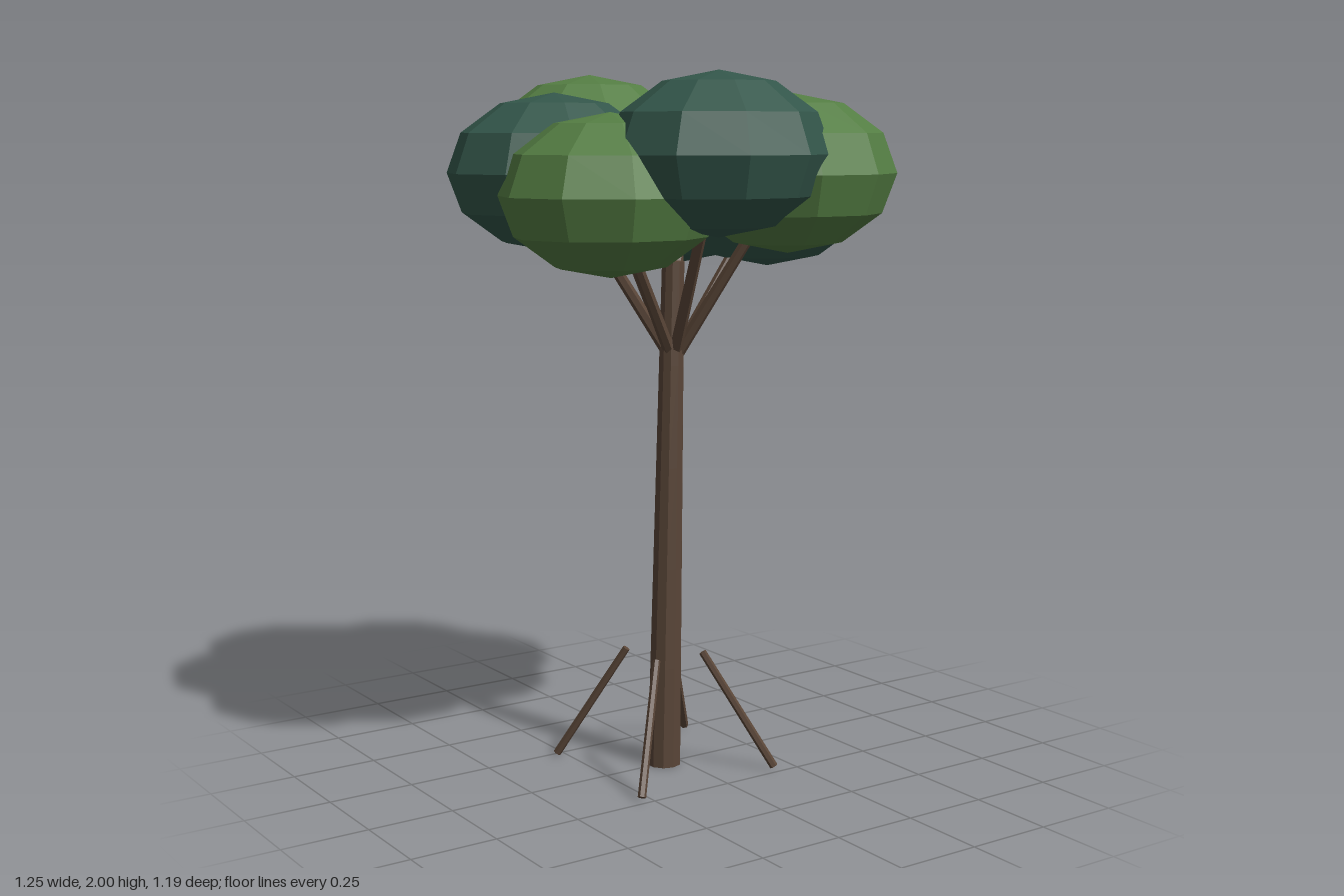
import * as THREE from 'three';

const bark = new THREE.MeshStandardMaterial({ color: 0x594537, flatShading: true });
bark.name = 'bark';
const darkLeaf = new THREE.MeshStandardMaterial({ color: 0x33564a, flatShading: true });
darkLeaf.name = 'darkLeaf';
const lightLeaf = new THREE.MeshStandardMaterial({ color: 0x547d43, flatShading: true });
lightLeaf.name = 'lightLeaf';

const UP = new THREE.Vector3(0, 1, 0);

// Tapered rod running from point a to point b
function rod(name, a, b, rBottom, rTop, sides) {
  const dir = b.clone().sub(a);
  const mesh = new THREE.Mesh(new THREE.CylinderGeometry(rTop, rBottom, dir.length(), sides), bark);
  mesh.name = name;
  mesh.position.copy(a).lerp(b, 0.5);
  mesh.quaternion.setFromUnitVectors(UP, dir.normalize());
  return mesh;
}

export function createModel() {
  const tree = new THREE.Group();
  tree.name = 'tree';

  // Trunk: tapered and leaning slightly towards +x
  const baseX = -0.052, topX = -0.018, height = 1.475;
  const trunkGeo = new THREE.CylinderGeometry(0.033, 0.05, height, 10, 5);
  trunkGeo.translate(0, height / 2, 0);
  const p = trunkGeo.attributes.position;
  for (let i = 0; i < p.count; i++) {
    p.setX(i, p.getX(i) + THREE.MathUtils.lerp(baseX, topX, p.getY(i) / height));
  }
  trunkGeo.computeVertexNormals();
  const trunk = new THREE.Mesh(trunkGeo, bark);
  trunk.name = 'trunk';
  tree.add(trunk);

  // Four slanted stakes on the diagonals around the trunk
  const stakes = new THREE.Group();
  stakes.name = 'stakes';
  for (const sx of [-1, 1]) {
    for (const sz of [-1, 1]) {
      const foot = new THREE.Vector3(-0.05 + sx * 0.23, 0.01, sz * 0.23);
      const tip = new THREE.Vector3(-0.05 + sx * 0.08, 0.343, sz * 0.08);
      stakes.add(rod('stake', foot, tip, 0.012, 0.011, 6));
    }
  }
  tree.add(stakes);

  // Seven branches, each carrying a flattened leaf cluster
  const branches = new THREE.Group();
  branches.name = 'branches';
  const canopy = new THREE.Group();
  canopy.name = 'canopy';
  const fork = new THREE.Vector3(-0.018, 1.19, 0);
  const leafGeo = new THREE.SphereGeometry(1, 10, 6);
  for (let i = 0; i < 7; i++) {
    const a = (i / 7) * Math.PI * 2;
    const centre = new THREE.Vector3(
      topX + Math.cos(a) * 0.333, 1.67 + (i % 3) * 0.055, Math.sin(a) * 0.333);
    branches.add(rod('branch', fork, centre, 0.018, 0.014, 6));
    const cluster = new THREE.Mesh(leafGeo, i % 2 ? lightLeaf : darkLeaf);
    cluster.name = 'leafCluster';
    cluster.position.copy(centre);
    cluster.scale.set(0.31, 0.22, 0.285);
    canopy.add(cluster);
  }
  tree.add(branches, canopy);
  return tree;
}
